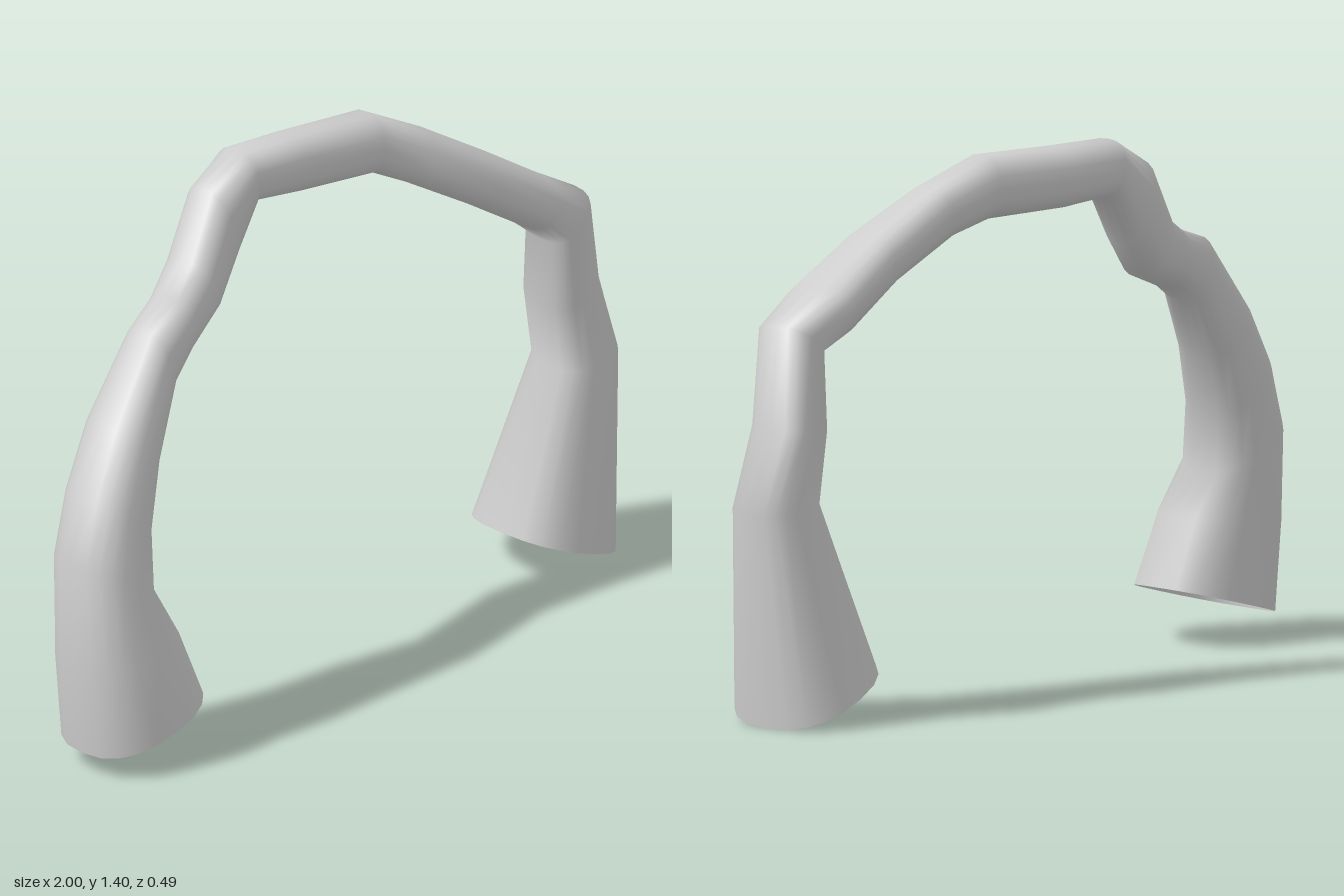
import * as THREE from 'three';

const SIDES = 20;

// Cross-sections along the arch, from its right foot over the top to its left foot:
// [outer x, outer y, inner x, inner y, centre z, half depth, forward twist of inner edge]
const SECTIONS = [
  [-0.985, 0.06, -0.62, 0.16, 0.083, 0.16, 0],
  [-1, 0.3, -0.69, 0.34, 0.07, 0.145, 0],
  [-0.975, 0.57, -0.74, 0.45, 0.035, 0.125, 0],
  [-0.91, 0.74, -0.73, 0.6, 0.015, 0.115, 0],
  [-0.8, 0.89, -0.665, 0.76, -0.02, 0.105, 0],
  [-0.63, 1.09, -0.565, 0.925, -0.05, 0.08, 0],
  [-0.5, 1.13, -0.47, 0.975, -0.09, 0.08, 0],
  [-0.39, 1.18, -0.31, 1.03, -0.145, 0.083, 0],
  [-0.29, 1.34, -0.215, 1.13, -0.17, 0.08, 0],
  [-0.17, 1.41, -0.145, 1.265, -0.17, 0.075, 0],
  [0, 1.41, 0, 1.25, -0.148, 0.073, 0],
  [0.23, 1.41, 0.23, 1.243, -0.1, 0.07, 0],
  [0.37, 1.34, 0.32, 1.2, -0.045, 0.072, 0],
  [0.55, 1.23, 0.49, 1.1, 0.005, 0.092, 0],
  [0.72, 1.12, 0.67, 0.985, 0.02, 0.108, 0],
  [0.87, 1.03, 0.715, 0.94, 0.035, 0.095, 0.02],
  [0.955, 0.78, 0.72, 0.75, 0, 0.11, 0.05],
  [1, 0.56, 0.745, 0.57, 0.015, 0.112, 0.03],
  [0.965, 0.005, 0.595, 0.145, -0.005, 0.19, 0.03],
];

// Rounded-square profile, a little fuller than an ellipse
const full = (v) => Math.sign(v) * Math.abs(v) ** 0.82;

// Skin a closed ring of vertices around every section; both ends stay open
function loft(sections) {
  const positions = [];
  const indices = [];
  sections.forEach(([ox, oy, ix, iy, z, depth, twist], row) => {
    for (let j = 0; j < SIDES; j++) {
      const angle = (j / SIDES) * Math.PI * 2;
      const c = full(Math.cos(angle));
      const s = full(Math.sin(angle));
      positions.push(
        (ox + ix) / 2 + (c * (ox - ix)) / 2,
        (oy + iy) / 2 + (c * (oy - iy)) / 2,
        z + s * depth - c * twist
      );
    }
    if (row === 0) return;
    for (let j = 0; j < SIDES; j++) {
      const a = (row - 1) * SIDES + j;
      const b = (row - 1) * SIDES + ((j + 1) % SIDES);
      indices.push(a, b, b + SIDES, a, b + SIDES, a + SIDES);
    }
  });
  const geometry = new THREE.BufferGeometry();
  geometry.setAttribute('position', new THREE.Float32BufferAttribute(positions, 3));
  geometry.setIndex(indices);
  geometry.computeVertexNormals();
  return geometry;
}

export function createModel() {
  const group = new THREE.Group();
  group.name = 'rootArch';

  // Hollow, crooked root with flared open feet
  const material = new THREE.MeshStandardMaterial({ color: 0xcccccc, side: THREE.DoubleSide });
  const root = new THREE.Mesh(loft(SECTIONS), material);
  root.name = 'archedRoot';
  group.add(root);

  return group;
}
